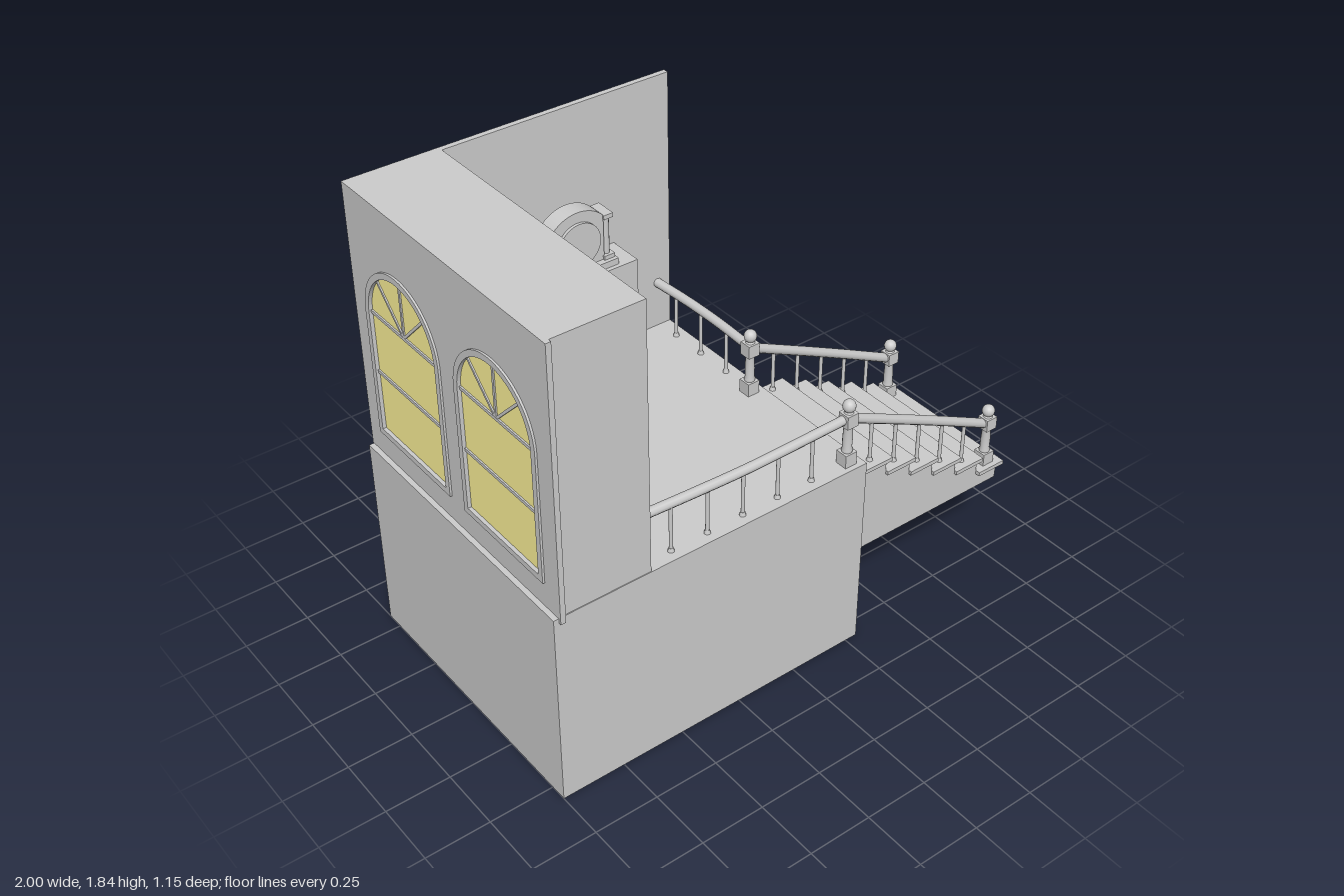
import * as THREE from 'three';

const grey = new THREE.MeshStandardMaterial({ color: 0xcccccc });
const glassMat = new THREE.MeshStandardMaterial({ color: 0xfff59a });

export function createModel() {
  const root = new THREE.Group();

  const add = (name, geometry, material = grey, parent = root) => {
    const mesh = new THREE.Mesh(geometry, material);
    mesh.name = name;
    parent.add(mesh);
    return mesh;
  };
  // Box from its limits
  const box = (name, x0, x1, y0, y1, z0, z1, parent = root) =>
    add(name, new THREE.BoxGeometry(x1 - x0, y1 - y0, z1 - z0)
      .translate((x0 + x1) / 2, (y0 + y1) / 2, (z0 + z1) / 2), grey, parent);
  const rod = (name, r0, r1, x, y0, y1, z, parent = root, sides = 12) =>
    add(name, new THREE.CylinderGeometry(r1, r0, y1 - y0, sides)
      .translate(x, (y0 + y1) / 2, z), grey, parent);
  const trace = (path, pts) => {
    pts.forEach(([a, b], i) => (i ? path.lineTo(a, b) : path.moveTo(a, b)));
    path.closePath();
    return path;
  };
  const rect = (path, a0, a1, b0, b1) => trace(path, [[a0, b0], [a1, b0], [a1, b1], [a0, b1]]);
  // Extrude a shape drawn in z and y, filling x0..x1
  const extrudeX = (shape, x0, x1) =>
    new THREE.ExtrudeGeometry(shape, { depth: x1 - x0, bevelEnabled: false, curveSegments: 24 })
      .rotateY(-Math.PI / 2).translate(x1, 0, 0);
  const extrudeZ = (shape, z0, z1) =>
    new THREE.ExtrudeGeometry(shape, { depth: z1 - z0, bevelEnabled: false, curveSegments: 24 })
      .translate(0, 0, z0);
  // Round-headed window outline
  const arch = (path, c, r, bottom, spring = 1.4) => {
    path.moveTo(c - r, bottom);
    path.lineTo(c + r, bottom);
    path.lineTo(c + r, spring);
    path.absarc(c, spring, r, 0, Math.PI, false);
    path.closePath();
    return path;
  };

  // Plinth and walls
  box('base', -1, 0.3, 0, 0.8, -0.57, 0.565);
  box('backWall', -0.98, 0.3, 0.78, 1.84, -0.577, -0.555);
  const outer = rect(new THREE.Shape(), -0.57, 0.575, 0.78, 1.84);
  for (const c of [-0.27, 0.27]) outer.holes.push(arch(new THREE.Path(), c, 0.215, 0.91));
  add('windowWall', extrudeX(outer, -0.98, -0.96));

  // Hollow window bay with a wide inner opening
  const inner = trace(new THREE.Shape(), [[-0.56, 0.8], [-0.39, 0.8], [-0.39, 1.55], [0.39, 1.55],
    [0.39, 0.8], [0.562, 0.8], [0.562, 1.84], [-0.56, 1.84]]);
  add('bayInnerWall', extrudeX(inner, -0.66, -0.62));
  box('bayFrontWall', -0.965, -0.64, 0.8, 1.84, 0.54, 0.562);
  box('bayRoof', -0.965, -0.64, 1.82, 1.84, -0.56, 0.55);

  // Arched windows
  for (const c of [-0.27, 0.27]) {
    const win = new THREE.Group();
    win.name = 'window';
    root.add(win);
    const frame = arch(new THREE.Shape(), c, 0.226, 0.9);
    frame.holes.push(arch(new THREE.Path(), c, 0.203, 0.923));
    add('windowFrame', extrudeX(frame, -0.988, -0.952), grey, win);
    add('glass', extrudeX(arch(new THREE.Shape(), c, 0.204, 0.922), -0.974, -0.966), glassMat, win);
    for (const y of [1.16, 1.4]) box('crossbar', -0.98, -0.96, y - 0.006, y + 0.006, c - 0.205, c + 0.205, win);
    for (const angle of [-Math.PI / 4, 0, Math.PI / 4]) {
      const bar = add('fanBar', new THREE.BoxGeometry(0.018, 0.205, 0.01).translate(0, 0.1025, 0), grey, win);
      bar.position.set(-0.97, 1.4, c);
      bar.rotation.x = angle;
    }
  }

  // Fireplace
  const surround = trace(new THREE.Shape(), [[-0.39, 0.8], [-0.33, 0.8], [-0.33, 1.1], [-0.01, 1.1],
    [-0.01, 0.8], [0.05, 0.8], [0.05, 1.237], [-0.39, 1.237]]);
  add('fireplaceSurround', extrudeZ(surround, -0.556, -0.41));
  box('fireplaceBack', -0.34, 0, 0.8, 1.11, -0.556, -0.48);

  // Mantel clock
  const clock = new THREE.Group();
  clock.name = 'mantelClock';
  root.add(clock);
  box('clockBase', -0.325, -0.02, 1.237, 1.262, -0.545, -0.427, clock);
  const R = 0.146; // radius of the curved top
  const body = new THREE.Shape();
  body.moveTo(-0.28, 1.26);
  body.lineTo(-0.064, 1.26);
  body.lineTo(-0.064, 1.441);
  const half = Math.asin(0.108 / R);
  body.absarc(-0.172, 1.441 - R * Math.cos(half), R, Math.PI / 2 - half, Math.PI / 2 + half, false);
  body.closePath();
  add('clockBody', extrudeZ(body, -0.522, -0.452), grey, clock);
  add('clockDial', new THREE.CylinderGeometry(0.088, 0.088, 0.016, 40).rotateX(Math.PI / 2)
    .translate(-0.172, 1.36, -0.448), grey, clock);
  for (const x of [-0.297, -0.047]) {
    box('columnFoot', x - 0.022, x + 0.022, 1.26, 1.278, -0.532, -0.442, clock);
    rod('clockColumn', 0.014, 0.014, x, 1.275, 1.425, -0.467, clock);
    rod('clockColumn', 0.014, 0.014, x, 1.275, 1.425, -0.507, clock);
    box('columnCap', x - 0.02, x + 0.02, 1.425, 1.442, -0.53, -0.444, clock);
  }

  // Staircase: solid stepped body with overhanging treads
  const treadX = [0.43, 0.545, 0.66, 0.78, 0.895, 1];
  const treadY = treadX.map((_, i) => 0.76 - i * 0.0565);
  const profile = [[0.295, 0.4], [0.98, 0.4]];
  for (let i = 5; i >= 0; i--) {
    profile.push([treadX[i] - 0.018, treadY[i] - 0.008]);
    profile.push([i ? treadX[i - 1] - 0.018 : 0.295, treadY[i] - 0.008]);
  }
  add('stairBody', extrudeZ(trace(new THREE.Shape(), profile), -0.03, 0.547));
  treadX.forEach((x, i) => {
    const extra = i === 5 ? 0.013 : 0;
    box('tread', i ? treadX[i - 1] - 0.018 : 0.298, x, treadY[i] - 0.016, treadY[i],
      -0.042 - extra, 0.559 + extra / 2);
  });

  // Newel posts
  const railZ = [-0.008, 0.52];
  const newel = (x, y, z, s) => {
    const post = new THREE.Group();
    post.name = 'newelPost';
    post.position.set(x, y, z);
    post.scale.y = s;
    root.add(post);
    box('newelFoot', -0.025, 0.025, 0, 0.05, -0.025, 0.025, post);
    const pts = [[0.019, 0.05], [0.021, 0.058], [0.017, 0.066], [0.018, 0.1], [0.016, 0.145], [0.021, 0.155]];
    add('newelShaft', new THREE.LatheGeometry(pts.map(p => new THREE.Vector2(...p)), 16), grey, post);
    box('newelHead', -0.024, 0.024, 0.155, 0.205, -0.024, 0.024, post);
    rod('newelNeck', 0.018, 0.012, 0, 0.204, 0.215, 0, post);
    add('newelBall', new THREE.SphereGeometry(0.024, 16, 12).translate(0, 0.231, 0), grey, post);
  };
  for (const z of railZ) {
    newel(0.245, 0.8, z, 1.05);
    newel(0.94, treadY[5], z, 1);
  }

  // Handrails, closed at their ends
  const rail = pts => {
    const curve = new THREE.CatmullRomCurve3(pts.map(p => new THREE.Vector3(...p)));
    add('handrail', new THREE.TubeGeometry(curve, 24, 0.018, 10));
    for (const [t, s] of [[0, -1], [1, 1]]) {
      const cap = add('handrailEnd', new THREE.CircleGeometry(0.018, 10));
      cap.position.copy(curve.getPoint(t));
      cap.lookAt(cap.position.clone().addScaledVector(curve.getTangent(t), s));
    }
  };
  const baluster = (x, y0, y1, z) => {
    rod('baluster', 0.007, 0.007, x, y0, y1, z, root, 10);
    rod('balusterFoot', 0.012, 0.008, x, y0, y0 + 0.015, z, root, 10);
  };
  rail([[-0.625, 0.995, 0.51], [-0.4, 0.993, 0.52], [-0.2, 0.992, 0.526], [0, 0.992, 0.524], [0.245, 0.99, 0.517]]);
  rail([[0.248, 0.99, -0.008], [0.256, 0.99, -0.2], [0.254, 0.99, -0.38], [0.243, 0.99, -0.556]]);
  for (let i = 0; i < 5; i++) baluster(-0.51 + i * 0.149, 0.8, 0.985, 0.521);
  for (const z of [-0.155, -0.305, -0.455]) baluster(0.254, 0.8, 0.985, z);
  for (const z of railZ) {
    rail([[0.245, 0.992, z], [0.6, 0.82, z], [0.94, 0.65, z]]);
    for (let i = 0; i < 5; i++) {
      const x = 0.355 + i * 0.116;
      baluster(x, treadY[i], 0.99 - (x - 0.245) * 0.492, z);
    }
  }
  return root;
}
